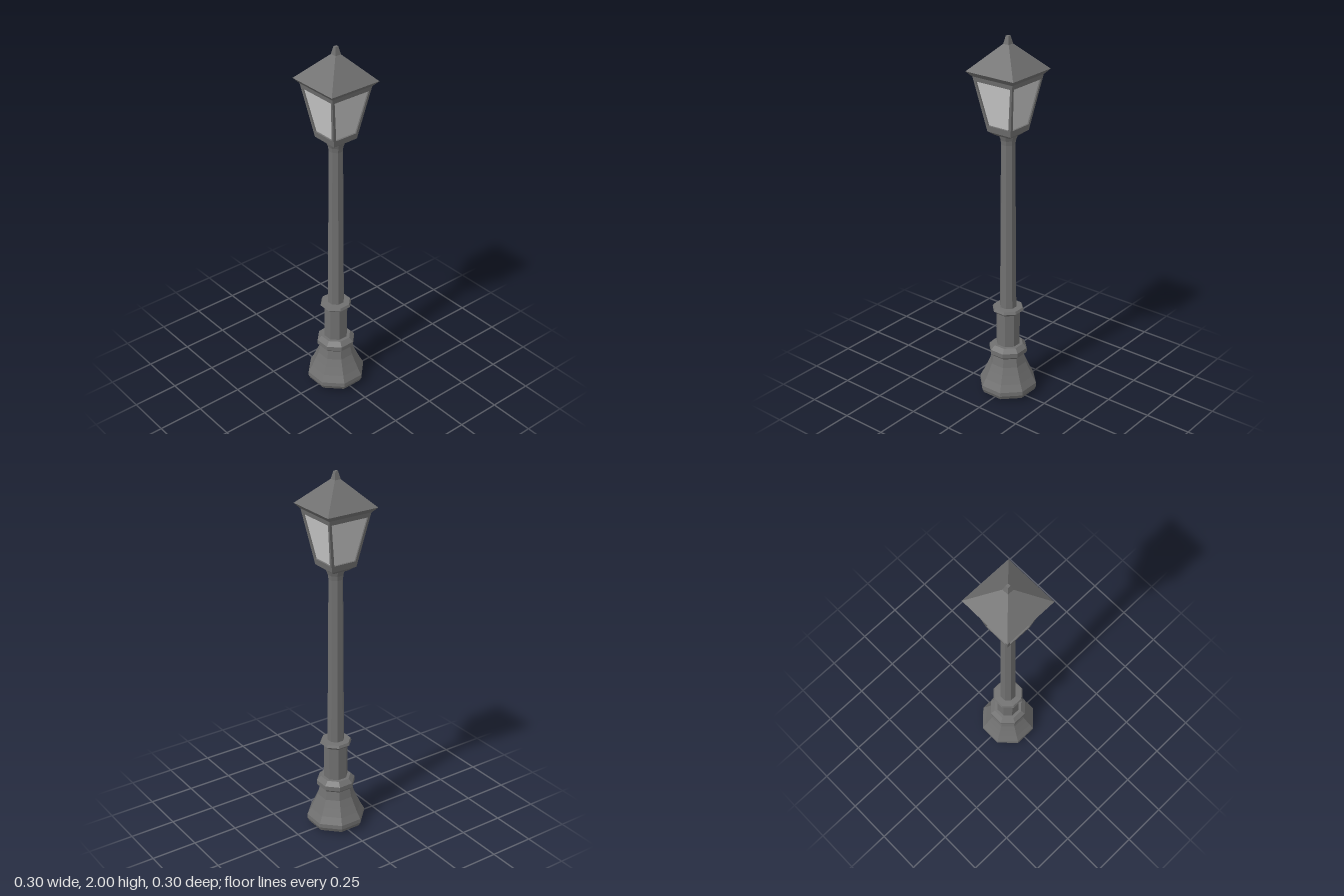
import * as THREE from 'three';

const metal = new THREE.MeshStandardMaterial({ color: 0x707070, flatShading: true });
const glass = new THREE.MeshStandardMaterial({ color: 0xcccccc, flatShading: true, side: THREE.DoubleSide });

// Faceted solid with a flat side facing front; profile rows are [half width, height], bottom to top
function prism(name, sides, profile) {
  const k = 1 / Math.cos(Math.PI / sides);
  const points = profile.map(([w, y]) => new THREE.Vector2(w * k, y));
  const mesh = new THREE.Mesh(new THREE.LatheGeometry(points, sides, Math.PI / sides), metal);
  mesh.name = name;
  return mesh;
}

// Symmetric trapezoid outline
function trapezoid(Type, bottom, top, y0, y1) {
  return new Type([[-bottom, y0], [bottom, y0], [top, y1], [-top, y1]].map(([x, y]) => new THREE.Vector2(x, y)));
}

// One sloping lantern side: window frame with a recessed pane
function lanternSide(index) {
  const bottom = 0.074, top = 0.126, y0 = 1.51, height = 0.295, depth = 0.012;
  const length = Math.hypot(height, top - bottom);
  const shape = trapezoid(THREE.Shape, bottom, top, 0, length);
  shape.holes.push(trapezoid(THREE.Path, 0.064, 0.108, 0.034, 0.27));
  const frameGeometry = new THREE.ExtrudeGeometry(shape, { depth, bevelEnabled: false });
  frameGeometry.translate(0, 0, -depth);
  const frame = new THREE.Mesh(frameGeometry, metal);
  frame.name = 'windowFrame';

  const pane = new THREE.Mesh(new THREE.ShapeGeometry(trapezoid(THREE.Shape, 0.066, 0.11, 0.03, 0.274)), glass);
  pane.name = 'windowPane';
  pane.position.z = -0.008;

  const tilted = new THREE.Group();
  tilted.add(frame, pane);
  tilted.position.set(0, y0, bottom);
  tilted.rotation.x = Math.atan2(top - bottom, height);

  const side = new THREE.Group();
  side.name = 'lanternSide';
  side.add(tilted);
  side.rotation.y = index * Math.PI / 2;
  return side;
}

export function createModel() {
  const model = new THREE.Group();
  model.name = 'streetLamp';

  // Bell-shaped foot and its collar
  model.add(prism('foot', 8, [
    [0, 0], [0.122, 0.008], [0.138, 0.018], [0.148, 0.04], [0.147, 0.062],
    [0.128, 0.1], [0.109, 0.145], [0.093, 0.185], [0.083, 0.235], [0, 0.235],
  ]));
  model.add(prism('lowerCollar', 8, [
    [0, 0.228], [0.08, 0.23], [0.097, 0.247], [0.097, 0.272], [0.076, 0.295], [0, 0.298],
  ]));

  // Sleeve and upper collar
  model.add(prism('sleeve', 8, [[0.06, 0.28], [0.06, 0.495]]));
  model.add(prism('upperCollar', 8, [
    [0.058, 0.482], [0.08, 0.502], [0.074, 0.516], [0, 0.52],
  ]));

  // Tapered pole with a flared neck
  model.add(prism('pole', 8, [[0.042, 0.5], [0.035, 1.45]]));
  model.add(prism('neck', 8, [[0.035, 1.44], [0.038, 1.465], [0.046, 1.488], [0.05, 1.5]]));

  // Lantern
  const lantern = new THREE.Group();
  lantern.name = 'lantern';
  lantern.add(prism('lanternFloor', 4, [[0, 1.488], [0.044, 1.488], [0.074, 1.512], [0.074, 1.518], [0, 1.518]]));
  for (let i = 0; i < 4; i++) lantern.add(lanternSide(i));
  model.add(lantern);

  // Pyramid roof with an overhanging eave, topped by a finial
  model.add(prism('roof', 4, [[0, 1.8], [0.126, 1.8], [0.149, 1.826], [0.016, 1.96], [0, 1.96]]));
  model.add(prism('finial', 4, [[0.018, 1.956], [0.013, 1.978], [0.008, 2], [0, 2]]));

  return model;
}
